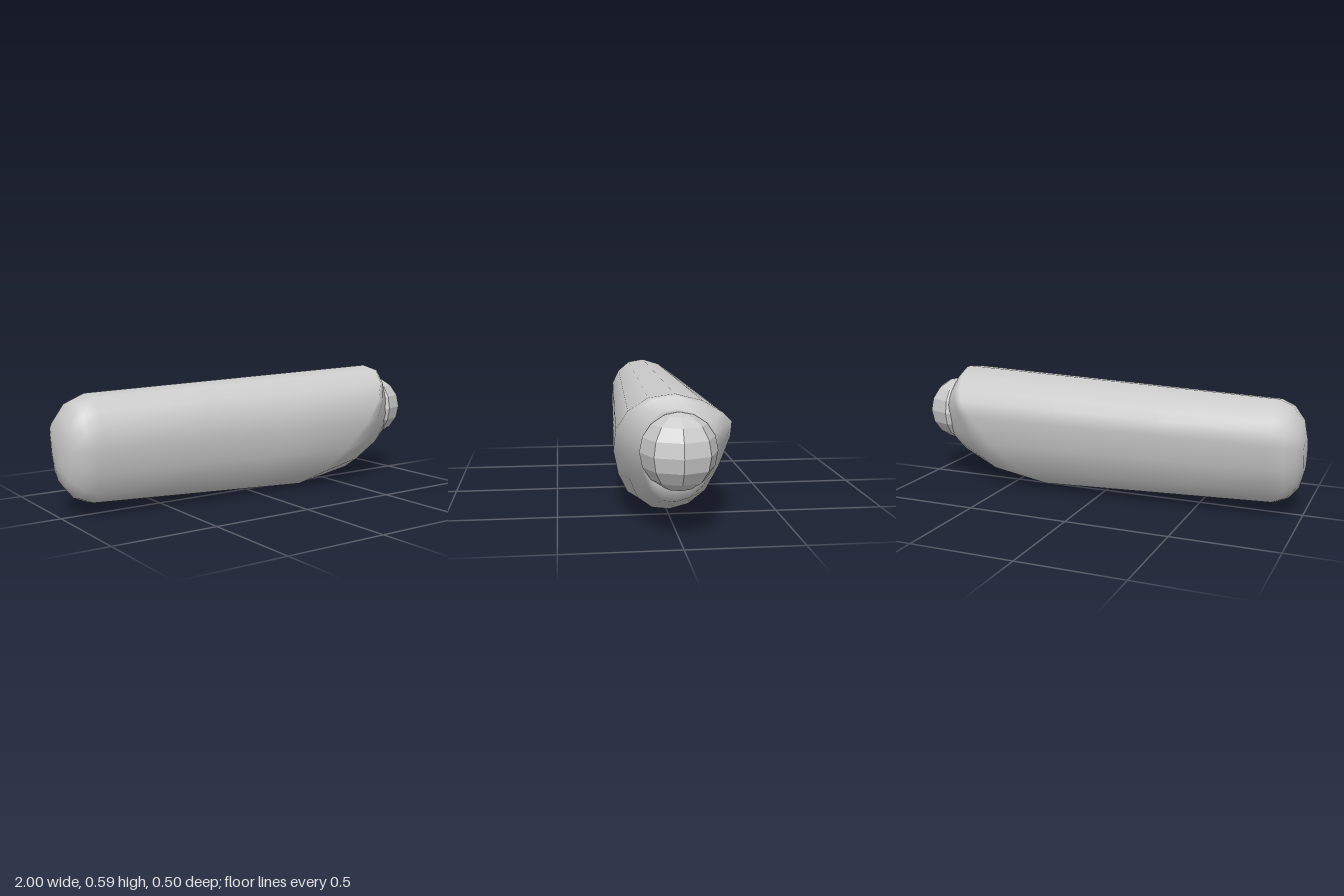
import * as THREE from 'three';

// Egg-shaped cross-section [z, y], running top -> +z -> bottom -> -z
const SECTION = [
  [0.01, 0.594], [0.12, 0.577], [0.2, 0.517], [0.247, 0.43],
  [0.253, 0.32], [0.225, 0.19], [0.175, 0.073], [0.1, 0.013],
  [0.01, 0.0], [-0.088, 0.028], [-0.172, 0.107], [-0.23, 0.245],
  [-0.252, 0.383], [-0.247, 0.457], [-0.2, 0.504], [-0.11, 0.56],
];
const AXIS_Y = 0.365; // height of the ball and of the nose centre
const lerp = THREE.MathUtils.lerp;

// Narrower section at the rounded rear, scaled about its centre
function rearRing(x, scale) {
  return SECTION.map(([z, y]) => [
    x, 0.302 + (y - 0.297) * 0.84 * scale, -0.025 + z * 0.76 * scale,
  ]);
}

// Slanted nose ring: x and scale change from the bottom to the top
function noseRing(xBottom, xTop, scaleBottom, scaleSide, scaleTop, power = 1) {
  return SECTION.map(([z, y]) => {
    const t = y / 0.594;
    const s = y < AXIS_Y ? scaleBottom : scaleTop;
    return [lerp(xBottom, xTop, t ** power), AXIS_Y + (y - AXIS_Y) * s, z * scaleSide];
  });
}

function mixRings(a, b, t) {
  return a.map((p, i) => p.map((v, k) => lerp(v, b[i][k], t)));
}

// Skin a list of rings and close both ends with a centre point
function loft(rings, startPoint, endPoint) {
  const n = SECTION.length;
  const points = [...rings.flat(), startPoint, endPoint];
  const start = points.length - 2;
  const last = (rings.length - 1) * n;
  const index = [];
  for (let j = 0; j < n; j++) {
    const k = (j + 1) % n;
    for (let i = 0; i < rings.length - 1; i++) {
      const a = i * n + j, b = i * n + k;
      index.push(a, b, a + n, b, b + n, a + n);
    }
    index.push(start, k, j, start + 1, last + j, last + k);
  }
  const geometry = new THREE.BufferGeometry();
  geometry.setAttribute('position', new THREE.Float32BufferAttribute(points.flat(), 3));
  geometry.setIndex(index);
  geometry.computeVertexNormals();
  return geometry;
}

export function createModel() {
  const model = new THREE.Group();

  // Long tapering body with a rounded rear and an undercut nose
  const rear = rearRing(-0.865, 1);
  const shoulder = noseRing(0.22, 0.78, 1, 1, 1, 0.65);
  const rings = [
    rearRing(-1, 0.32), rearRing(-0.98, 0.64), rearRing(-0.93, 0.89), rear,
    mixRings(rear, shoulder, 0.33), mixRings(rear, shoulder, 0.67), shoulder,
    noseRing(0.59, 0.8, 0.863, 0.85, 0.97),
    noseRing(0.78, 0.83, 0.63, 0.62, 0.77),
    noseRing(0.855, 0.815, 0.43, 0.58, 0.64),
  ];
  const body = new THREE.Mesh(
    loft(rings, [-1, 0.302, -0.025], [0.81, AXIS_Y, 0]),
    new THREE.MeshStandardMaterial({ color: 0xcccccc }),
  );
  body.name = 'body';
  model.add(body);

  // Faceted ball seated in the nose
  const ball = new THREE.Mesh(
    new THREE.SphereGeometry(0.163, 8, 8),
    new THREE.MeshStandardMaterial({ color: 0xcccccc, flatShading: true }),
  );
  ball.name = 'noseBall';
  ball.position.set(0.837, AXIS_Y, 0);
  model.add(ball);

  return model;
}
